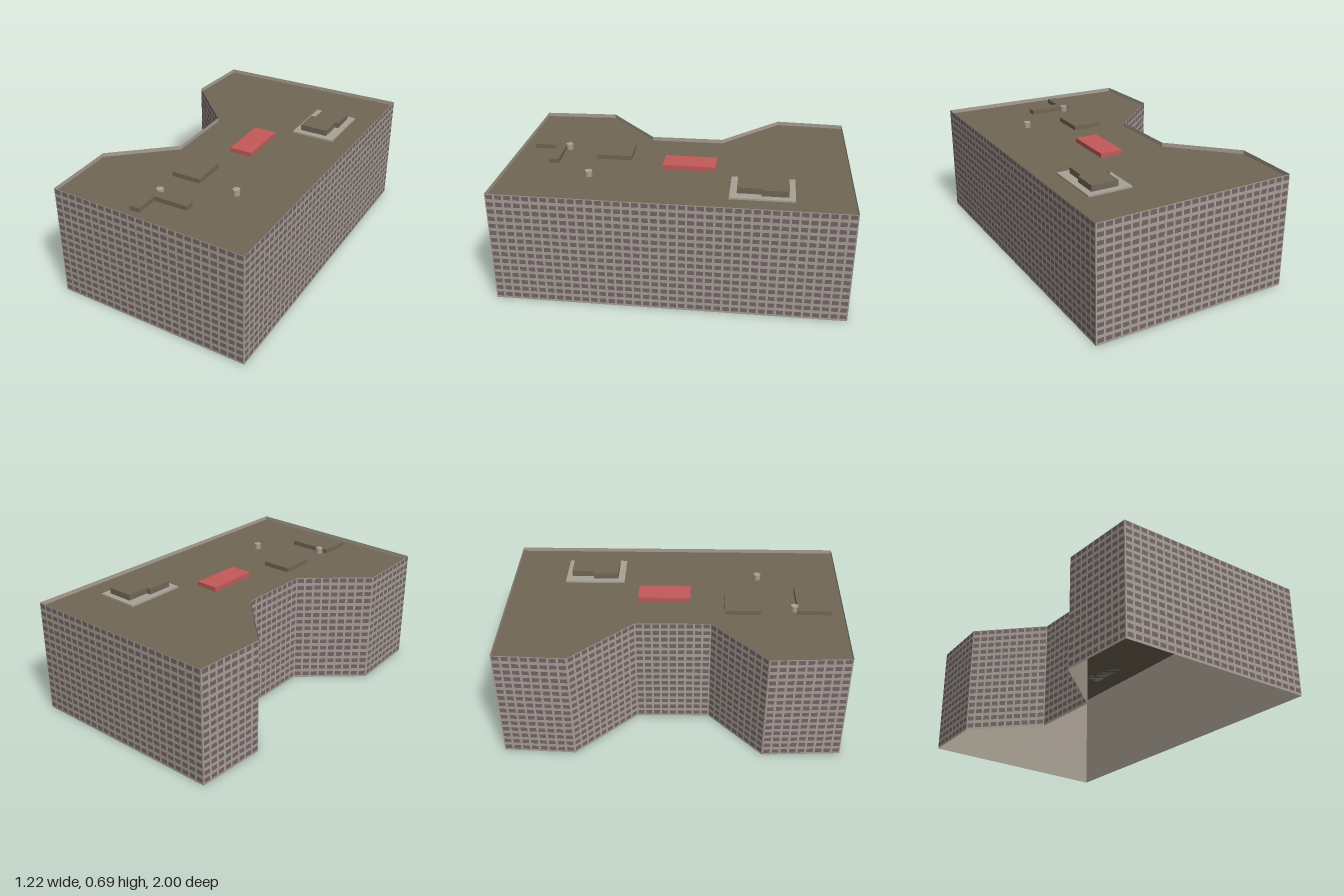
import * as THREE from 'three';
import { mergeGeometries } from 'three/addons/utils/BufferGeometryUtils.js';

const HEIGHT = 0.674, ROOF = 0.65, FLOORS = 15, BAY = 0.05;

// Footprint corners as [x, z]
const OUTLINE = [
  [-0.59, -0.975], [0.605, -1], [0.605, 1], [-0.585, 0.957],
  [-0.605, 0.51], [-0.265, 0.207], [-0.27, -0.225], [-0.608, -0.565],
];

const makeMaterial = (name, color, side = THREE.FrontSide) => {
  const m = new THREE.MeshStandardMaterial({ color, side });
  m.name = name;
  return m;
};

const toShape = (points) => new THREE.Shape(points.map(([x, z]) => new THREE.Vector2(x, -z)));

// Vertical slab over a plan polygon
const slab = (points, y0, y1) =>
  new THREE.ExtrudeGeometry(toShape(points), { depth: y1 - y0, bevelEnabled: false })
    .rotateX(-Math.PI / 2).translate(0, y0, 0);

const rect = (x0, x1, z0, z1) => [[x0, z0], [x1, z0], [x1, z1], [x0, z1]];

export function createModel() {
  const model = new THREE.Group();
  model.name = 'building';
  const wallMat = makeMaterial('beige wall', 0xa9a093, THREE.DoubleSide);
  const glassMat = makeMaterial('mauve window', 0x74656b);
  const roofMat = makeMaterial('brown roof', 0x716756, THREE.DoubleSide);
  const redMat = makeMaterial('red cover', 0xc45a5a);
  const greyMat = makeMaterial('pale grey', 0xa8a296);

  const add = (name, geometry, material) => {
    const mesh = new THREE.Mesh(geometry, material);
    mesh.name = name;
    model.add(mesh);
  };

  // Open shell of walls, each with a regular grid of window plates
  const walls = [], windows = [];
  OUTLINE.forEach(([x0, z0], i) => {
    const [x1, z1] = OUTLINE[(i + 1) % OUTLINE.length];
    const dx = x1 - x0, dz = z1 - z0, length = Math.hypot(dx, dz);
    const place = (g) => g.rotateY(Math.atan2(dz, -dx)).translate((x0 + x1) / 2, 0, (z0 + z1) / 2);
    walls.push(place(new THREE.PlaneGeometry(length, HEIGHT).translate(0, HEIGHT / 2, 0)));

    const bays = Math.round(length / BAY), bay = length / bays, floor = HEIGHT / FLOORS;
    for (let r = 0; r < FLOORS; r++) {
      for (let c = 0; c < bays; c++) {
        const pane = new THREE.PlaneGeometry(bay * 0.75, floor * 0.58);
        windows.push(place(pane.translate((c + 0.5) * bay - length / 2, (r + 0.6) * floor, 0.0015)));
      }
    }
  });
  add('walls', mergeGeometries(walls), wallMat);
  add('windows', mergeGeometries(windows), glassMat);

  // Roof deck recessed below the parapet
  add('roof', new THREE.ShapeGeometry(toShape(OUTLINE)).rotateX(-Math.PI / 2).translate(0, ROOF, 0), roofMat);

  // Rooftop structures
  add('penthousePad', slab(rect(0.207, 0.467, -0.675, -0.315), ROOF, 0.66), greyMat);
  add('penthouse', slab([
    [0.27, -0.64], [0.43, -0.64], [0.43, -0.49], [0.41, -0.49],
    [0.41, -0.355], [0.243, -0.355], [0.243, -0.505], [0.27, -0.505],
  ], ROOF, 0.695), roofMat);
  add('redBlock', slab(rect(0, 0.138, -0.218, 0.09), ROOF, 0.677), redMat);
  add('squareBlock', slab(rect(-0.133, 0.042, 0.29, 0.498), ROOF, 0.677), roofMat);
  add('lShapedBlock', slab([
    [-0.128, 0.71], [0.133, 0.71], [0.133, 0.767], [-0.068, 0.767], [-0.068, 0.905], [-0.128, 0.905],
  ], ROOF, 0.677), roofMat);

  // Small round vents
  for (const [x, z] of [[0.274, 0.498], [-0.082, 0.693]]) {
    add('vent', new THREE.CylinderGeometry(0.022, 0.022, 0.034, 8).toNonIndexed().translate(x, ROOF + 0.017, z), greyMat);
  }
  return model;
}
